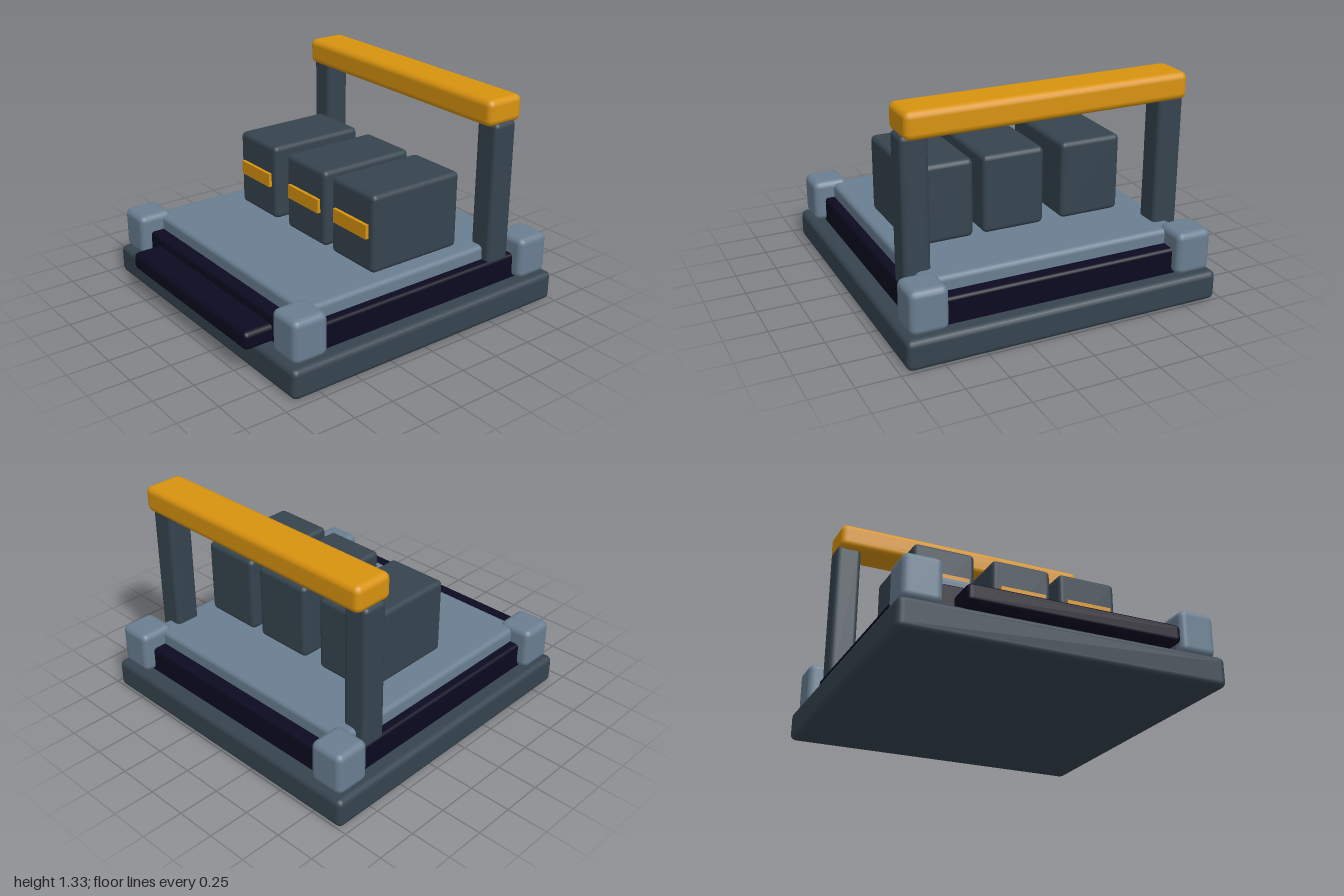
import * as THREE from 'three';
import { RoundedBoxGeometry } from 'three/addons/geometries/RoundedBoxGeometry.js';

function material(name, color) {
  const m = new THREE.MeshStandardMaterial({ color });
  m.name = name;
  return m;
}

export function createModel() {
  const group = new THREE.Group();
  const charcoal = material('charcoal', 0x36444f);
  const slate = material('slate', 0x6a7f92);
  const navy = material('navy', 0x0b0a20);
  const amber = material('amber', 0xd8930f);

  // Bevelled block given by its extents on each axis
  function block(name, mat, [x0, x1], [y0, y1], [z0, z1], bevel = 0.03) {
    const size = [x1 - x0, y1 - y0, z1 - z0];
    const geometry = bevel
      ? new RoundedBoxGeometry(...size, 2, bevel)
      : new THREE.BoxGeometry(...size);
    const mesh = new THREE.Mesh(geometry, mat);
    mesh.name = name;
    mesh.position.set((x0 + x1) / 2, (y0 + y1) / 2, (z0 + z1) / 2);
    group.add(mesh);
  }

  // Stacked platform
  block('base', charcoal, [-0.96, 0.96], [0, 0.18], [-1, 0.92], 0.035);
  block('skirt', navy, [-0.86, 0.86], [0.15, 0.335], [-0.905, 0.825], 0.02);
  block('deck', slate, [-0.8, 0.8], [0.26, 0.42], [-0.82, 0.74], 0.03);
  block('frontStep', navy, [-0.625, 0.625], [0.17, 0.28], [0.74, 1], 0.03);

  // Corner blocks and rail uprights, mirrored left and right
  for (const [side, s] of [['left', 1], ['right', -1]]) {
    const span = (c, w) => [s * c - w / 2, s * c + w / 2];
    for (const [end, z] of [['Front', 0.78], ['Back', -0.86]]) {
      block(`${side}${end}Corner`, slate, span(0.817, 0.222), [0.182, 0.442], [z - 0.11, z + 0.11], 0.04);
    }
    block(`${side}Upright`, charcoal, span(0.78, 0.16), [0.31, 1.19], [-0.71, -0.55], 0.03);
  }

  // Handle rail
  block('topRail', amber, [-0.85, 0.85], [1.17, 1.33], [-0.76, -0.505], 0.04);

  // Cargo crates with label plates
  [-0.43, 0.07, 0.515].forEach((x, i) => {
    block(`crate${i + 1}`, charcoal, [x - 0.192, x + 0.192], [0.42, 0.892], [-0.43, 0.202], 0.03);
    block(`crateLabel${i + 1}`, amber, [x - 0.148, x + 0.148], [0.628, 0.713], [0.195, 0.223], 0);
  });

  return group;
}
